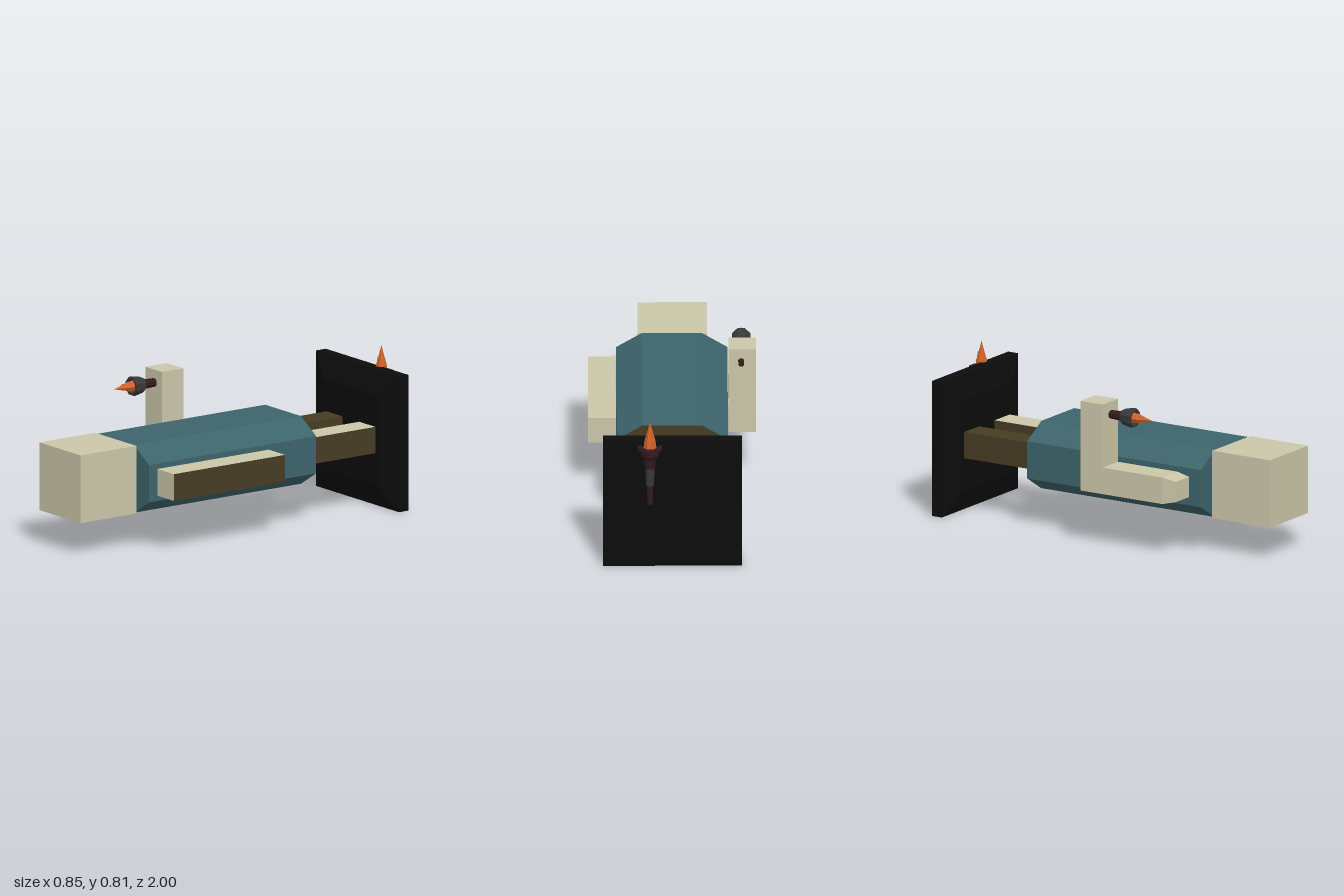
import * as THREE from 'three';

const mat = (name, color) => {
  const m = new THREE.MeshStandardMaterial({ color });
  m.name = name;
  return m;
};

export function createModel() {
  const cream = mat('cream', 0xcbc6a9);
  const teal = mat('teal', 0x3d646b);
  const olive = mat('dark olive', 0x463c22);
  const black = mat('black', 0x0c0c0c);
  const grey = mat('charcoal', 0x383838);
  const maroon = mat('maroon', 0x331a1c);
  const orange = mat('flame orange', 0xd2622a);

  const model = new THREE.Group();
  model.name = 'lyingFigure';

  const add = (parent, name, geometry, material) => {
    const mesh = new THREE.Mesh(geometry, material);
    mesh.name = name;
    parent.add(mesh);
    return mesh;
  };
  // Faceted normals for low-poly round parts
  const flat = (geometry) => {
    const g = geometry.index ? geometry.toNonIndexed() : geometry;
    g.computeVertexNormals();
    return g;
  };
  // Box given by its lower and upper corners
  const block = (parent, name, [x0, y0, z0], [x1, y1, z1], material) => {
    const g = new THREE.BoxGeometry(x1 - x0, y1 - y0, z1 - z0);
    g.translate((x0 + x1) / 2, (y0 + y1) / 2, (z0 + z1) / 2);
    return add(parent, name, g, material);
  };
  // Box whose front face is moved by a rule (x, y) => [x, y]
  const taperedBlock = (parent, name, lo, hi, material, rule) => {
    const mesh = block(parent, name, lo, hi, material);
    const p = mesh.geometry.attributes.position;
    const middle = (lo[2] + hi[2]) / 2;
    for (let i = 0; i < p.count; i++) {
      if (p.getZ(i) > middle) p.setXY(i, ...rule(p.getX(i), p.getY(i)));
    }
    mesh.geometry = flat(mesh.geometry);
    mesh.geometry.clearGroups();
    return mesh;
  };

  // Head
  block(model, 'head', [-0.178, 0.177, 0.65], [0.173, 0.529, 1], cream);

  // Torso: eight-sided prism with a differently coloured lower end
  const outline = new THREE.Shape([
    [0.152, 0.529], [-0.152, 0.529], [-0.282, 0.45], [-0.282, 0.256],
    [-0.152, 0.177], [0.152, 0.177], [0.282, 0.256], [0.282, 0.45],
  ].map(([x, y]) => new THREE.Vector2(x, y)));
  const torso = new THREE.ExtrudeGeometry(outline, { depth: 1.05, bevelEnabled: false });
  torso.translate(0, 0, -0.4);
  add(model, 'torso', torso, teal);
  const end = new THREE.ShapeGeometry(outline);
  end.rotateY(Math.PI);
  end.translate(0, 0, -0.402);
  add(model, 'torsoEnd', end, olive);

  // Legs: materials in order +x, -x, +y, -y, +z, -z
  block(model, 'leftLeg', [0.07, 0.285, -0.83], [0.207, 0.422, -0.4],
    [olive, olive, cream, olive, cream, cream]);
  block(model, 'rightLeg', [-0.21, 0.285, -0.83], [-0.073, 0.422, -0.4],
    [olive, olive, olive, cream, cream, cream]);

  // Straight arm
  block(model, 'leftArm', [0.284, 0.284, -0.1], [0.424, 0.423, 0.6],
    [olive, cream, cream, cream, cream, cream]);

  // Bent arm with a bevelled shoulder and raised forearm
  const arm = new THREE.Group();
  arm.name = 'rightArm';
  model.add(arm);
  block(arm, 'upperArm', [-0.425, 0.284, 0.15], [-0.285, 0.423, 0.51], cream);
  taperedBlock(arm, 'shoulder', [-0.425, 0.284, 0.51], [-0.285, 0.423, 0.58], cream,
    (x, y) => [Math.max(x, -0.408), y > 0.35 ? 0.406 : 0.3]);
  block(arm, 'forearm', [-0.425, 0.284, 0.015], [-0.285, 0.752, 0.15], cream);

  // Base board with a bevelled front
  block(model, 'board', [-0.353, 0, -0.93], [0.351, 0.705, -0.87], black);
  taperedBlock(model, 'boardBevel', [-0.353, 0, -0.87], [0.351, 0.705, -0.828], black,
    (x, y) => [x * 0.67, 0.352 + (y - 0.352) * 0.67]);

  // Torch pieces stand along y: profile is [radius, height] pairs
  const turned = (parent, name, profile, material, sides = 8) => {
    const g = new THREE.LatheGeometry(
      profile.map(([r, y]) => new THREE.Vector2(r, y)), sides, Math.PI / sides);
    return add(parent, name, flat(g), material);
  };
  const flame = (parent, y, radius, height) => {
    turned(parent, 'flame', [[0, y], [radius, y], [radius * 0.85, y + height * 0.3],
      [radius * 0.4, y + height * 0.65], [0, y + height]], orange, 6);
    // Smaller side tongues
    for (let i = 0; i < 3; i++) {
      const a = i * Math.PI * 2 / 3;
      const tongue = turned(parent, 'flameTongue',
        [[radius * 0.5, y], [0, y + height * (0.55 + 0.06 * i)]], orange, 5);
      tongue.position.set(Math.cos(a) * radius * 0.55, 0, Math.sin(a) * radius * 0.55);
    }
  };

  // Torch held in the raised hand, pointing forward
  const heldTorch = new THREE.Group();
  heldTorch.name = 'heldTorch';
  heldTorch.position.set(-0.35, 0.686, 0);
  heldTorch.rotation.x = Math.PI / 2;
  model.add(heldTorch);
  turned(heldTorch, 'handle', [[0, -0.02], [0.016, -0.02], [0.018, 0.15],
    [0.022, 0.15], [0.025, 0.23]], maroon);
  turned(heldTorch, 'cup', [[0.02, 0.222], [0.034, 0.222], [0.042, 0.235],
    [0.051, 0.285], [0.049, 0.297], [0.037, 0.297], [0.034, 0.275], [0, 0.275]], grey);
  flame(heldTorch, 0.275, 0.029, 0.13);

  // Torch sunk into the back of the board
  const backTorch = new THREE.Group();
  backTorch.name = 'backTorch';
  backTorch.position.set(0.113, 0, -0.935);
  model.add(backTorch);
  turned(backTorch, 'handleLower', [[0, 0.353], [0.014, 0.353], [0.018, 0.46]], maroon);
  turned(backTorch, 'handleBand', [[0.021, 0.46], [0.026, 0.56]], grey);
  turned(backTorch, 'handleUpper', [[0.029, 0.56], [0.033, 0.63]], maroon);
  turned(backTorch, 'cup', [[0.033, 0.61], [0.046, 0.63], [0.05, 0.66], [0.065, 0.663],
    [0.065, 0.68], [0.045, 0.68], [0.04, 0.665], [0, 0.665]], maroon);
  flame(backTorch, 0.665, 0.033, 0.15);

  return model;
}
